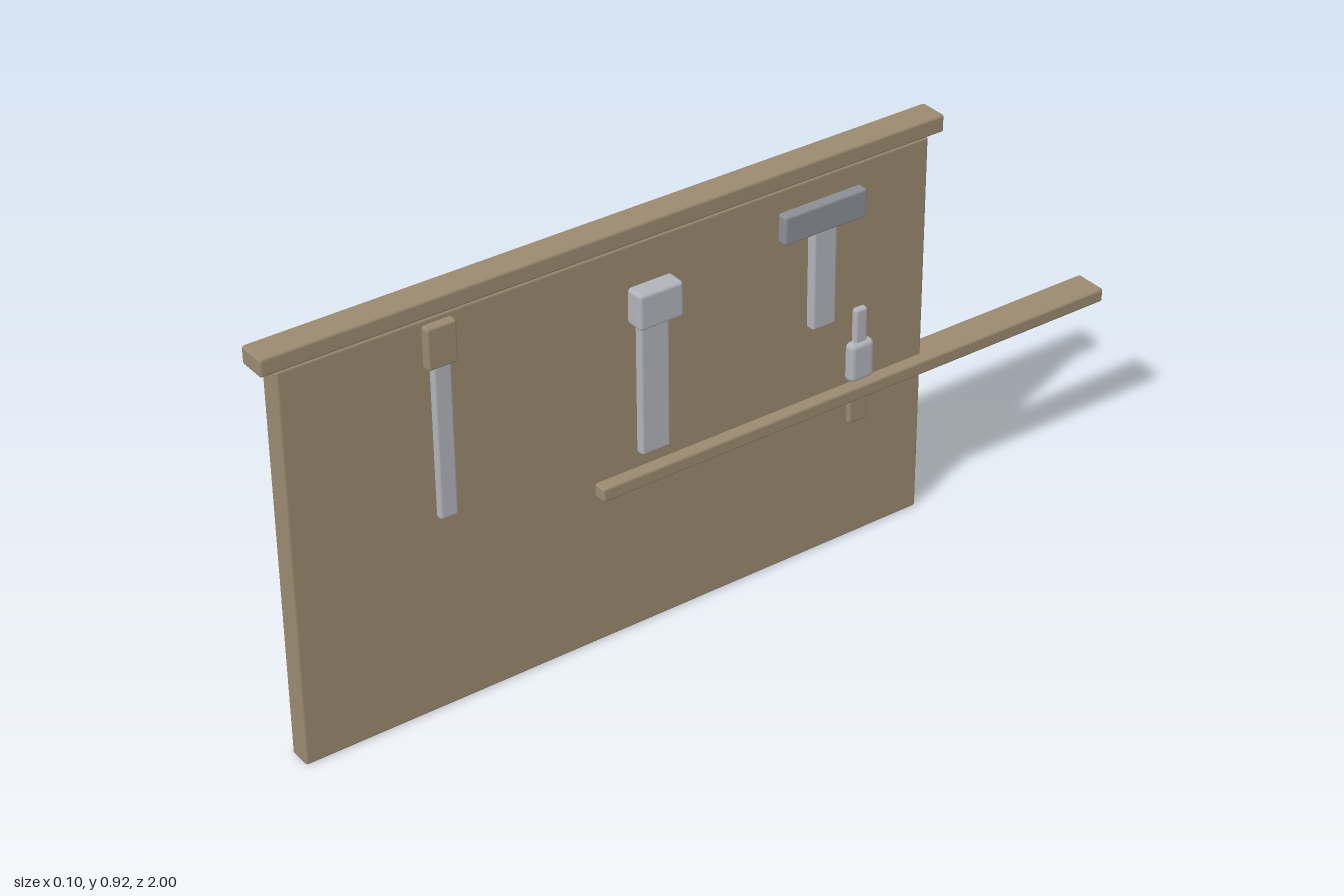
import * as THREE from 'three';
import { RoundedBoxGeometry } from 'three/addons/geometries/RoundedBoxGeometry.js';

const material = (name, color) => new THREE.MeshStandardMaterial({ name, color });

export function createModel() {
  const wood = material('wood', 0x9a8970);
  const steel = material('steel', 0xb0b3ba);
  const darkSteel = material('dark steel', 0x8c8e96);

  const model = new THREE.Group();
  model.name = 'toolBoard';

  // Rounded block spanning the given x, y and z ranges
  function block(parent, name, mat, [x0, x1], [y0, y1], [z0, z1], radius = 0.006) {
    const geometry = new RoundedBoxGeometry(x1 - x0, y1 - y0, z1 - z0, 2, radius);
    const mesh = new THREE.Mesh(geometry, mat);
    mesh.position.set((x0 + x1) / 2, (y0 + y1) / 2, (z0 + z1) / 2);
    mesh.name = name;
    parent.add(mesh);
    return mesh;
  }

  function tool(name) {
    const group = new THREE.Group();
    group.name = name;
    model.add(group);
    return group;
  }

  // Back board, top rail and the long shelf running past its edge
  block(model, 'backBoard', wood, [-0.04, 0.011], [0, 0.88], [-0.523, 0.966]);
  block(model, 'topRail', wood, [-0.047, 0.018], [0.883, 0.922], [-0.556, 1]);
  block(model, 'shelf', wood, [-0.038, 0.038], [0.345, 0.377], [-1, 0.29]);

  // Chisel hung by its wooden handle
  const chisel = tool('chisel');
  block(chisel, 'chiselHandle', wood, [-0.01, 0.029], [0.777, 0.868], [0.597, 0.663]);
  block(chisel, 'chiselBlade', steel, [-0.01, 0.025], [0.443, 0.782], [0.61, 0.65]);

  // Mallet whose head passes through the board
  const mallet = tool('mallet');
  block(mallet, 'malletHead', steel, [-0.053, 0.051], [0.708, 0.787], [0.104, 0.207], 0.008);
  block(mallet, 'malletShaft', steel, [-0.01, 0.028], [0.41, 0.715], [0.122, 0.19]);

  // Hammer with a wide dark head
  const hammer = tool('hammer');
  block(hammer, 'hammerHead', darkSteel, [-0.01, 0.033], [0.765, 0.829], [-0.353, -0.151]);
  block(hammer, 'hammerShaft', steel, [-0.01, 0.031], [0.546, 0.77], [-0.282, -0.224]);

  // Screwdriver standing behind the shelf line
  const screwdriver = tool('screwdriver');
  block(screwdriver, 'driverTip', steel, [-0.01, 0.024], [0.465, 0.549], [-0.37, -0.34]);
  block(screwdriver, 'driverCollar', steel, [-0.02, 0.032], [0.383, 0.473], [-0.385, -0.325], 0.012);
  block(screwdriver, 'driverGrip', wood, [-0.01, 0.021], [0.281, 0.355], [-0.378, -0.33]);

  return model;
}
